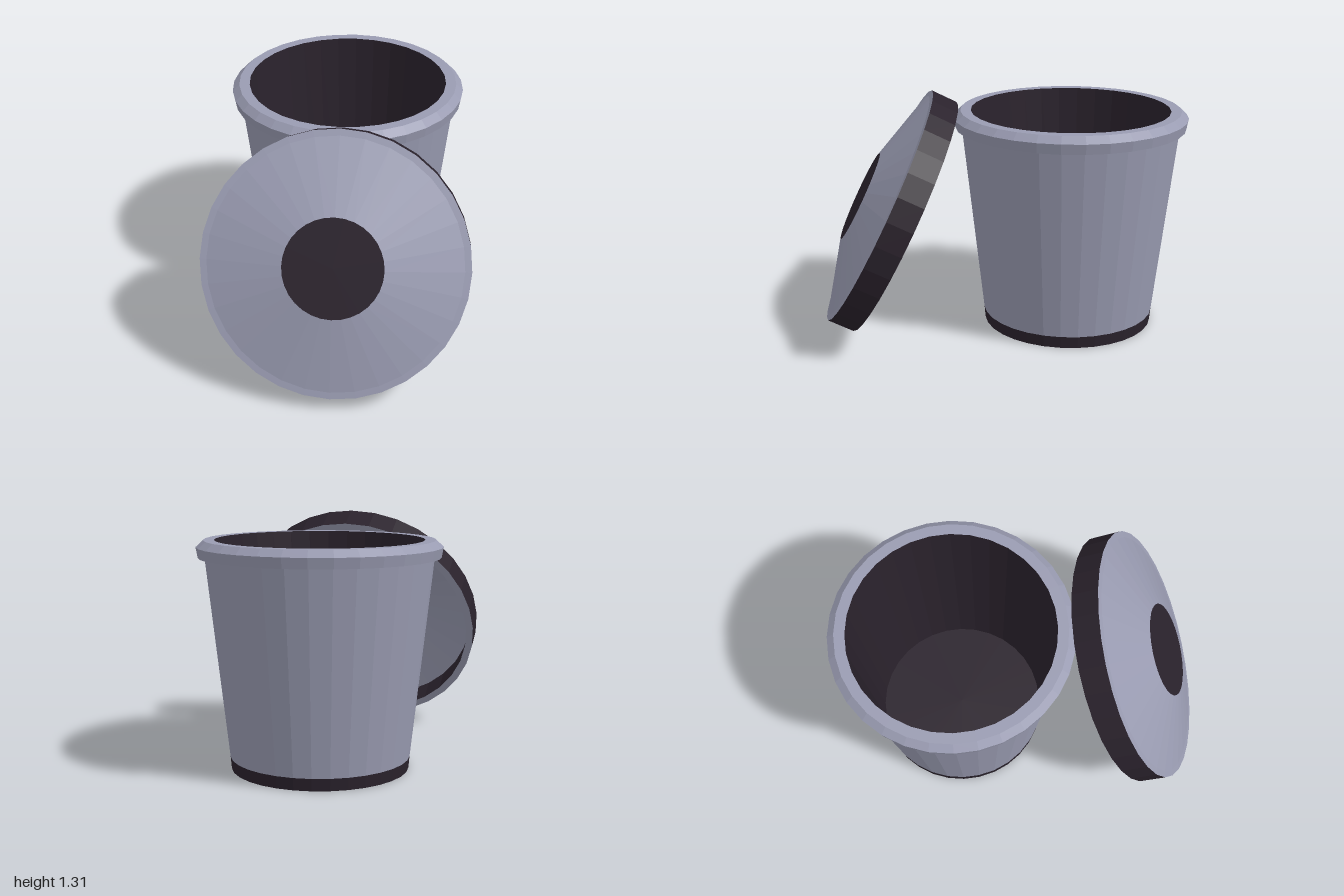
import * as THREE from 'three';

const SEGMENTS = 32;
const metal = new THREE.MeshStandardMaterial({ color: 0x9a9cb2, flatShading: true });
const dark = new THREE.MeshStandardMaterial({ color: 0x2a222c, flatShading: true });

// Revolved part from [radius, height] pairs; upward profiles face outward
function turned(name, profile, material) {
  const points = profile.map(([r, y]) => new THREE.Vector2(r, y));
  const mesh = new THREE.Mesh(new THREE.LatheGeometry(points, SEGMENTS), material);
  mesh.name = name;
  return mesh;
}

function createBin() {
  const bin = new THREE.Group();
  bin.name = 'bin';
  bin.add(
    turned('base', [[0, 0], [0.47, 0], [0.476, 0.065]], dark),
    turned('body', [[0.476, 0.065], [0.595, 1.12]], metal),
    turned('rimUnderside', [[0.595, 1.12], [0.63, 1.12]], dark),
    turned('rim', [[0.63, 1.12], [0.64, 1.175], [0.602, 1.21], [0.545, 1.21]], metal),
    turned('interior', [[0.545, 1.21], [0.46, 0.065], [0, 0.065]], dark),
  );
  bin.position.set(-0.03, 0, -0.36);
  return bin;
}

function createLid() {
  const lid = new THREE.Group();
  lid.name = 'lid';
  lid.add(
    turned('lidBand', [[0.69, 0], [0.69, 0.148]], dark),
    turned('lidDome', [[0.69, 0.148], [0.655, 0.152], [0.257, 0.262]], metal),
    turned('lidCentre', [[0.257, 0.262], [0, 0.262]], dark),
    // Hollow underside
    turned('lidLip', [[0.65, 0], [0.69, 0]], metal),
    turned('lidInnerWall', [[0.65, 0.14], [0.65, 0]], dark),
    turned('lidDomeUnderside', [[0.257, 0.252], [0.65, 0.14]], metal),
    turned('lidCentreUnderside', [[0, 0.252], [0.257, 0.252]], dark),
  );
  // Leaning against the front of the bin
  lid.rotation.x = 1.107;
  lid.position.set(0, 0.63, 0.563);
  return lid;
}

export function createModel() {
  const model = new THREE.Group();
  model.name = 'binWithLid';
  model.add(createBin(), createLid());
  return model;
}
